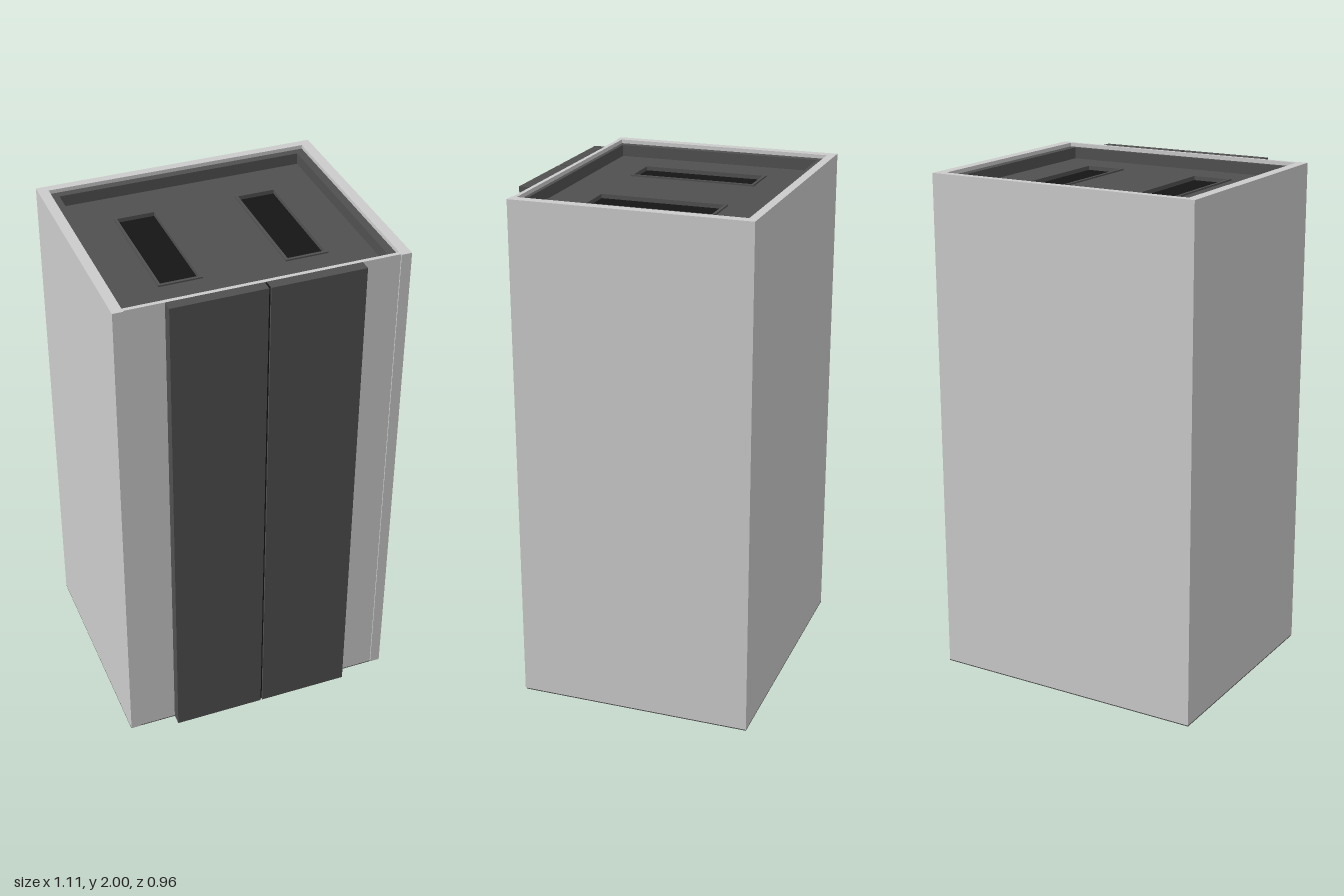
import * as THREE from 'three';

const grey = new THREE.MeshStandardMaterial({ color: 0xcccccc });
const dark = new THREE.MeshStandardMaterial({ color: 0x505050 });
const black = new THREE.MeshStandardMaterial({ color: 0x151515 });

// Plan outlines are [x0, x1, z0, z1]
function trace(path, [x0, x1, z0, z1]) {
  path.moveTo(x0, -z1);
  path.lineTo(x1, -z1);
  path.lineTo(x1, -z0);
  path.lineTo(x0, -z0);
  path.closePath();
  return path;
}

// Upright slab with rectangular plan, optional openings, from y0 to y1
function slab(name, material, plan, y0, y1, openings = []) {
  const shape = trace(new THREE.Shape(), plan);
  for (const o of openings) shape.holes.push(trace(new THREE.Path(), o));
  const geo = new THREE.ExtrudeGeometry(shape, { depth: y1 - y0, bevelEnabled: false });
  geo.rotateX(-Math.PI / 2).translate(0, y0, 0);
  const mesh = new THREE.Mesh(geo, material);
  mesh.name = name;
  return mesh;
}

export function createModel() {
  const model = new THREE.Group();
  model.name = 'elevatorCar';
  const add = (...args) => model.add(slab(...args));

  // Outer shell: two side walls, back wall and a slightly recessed front wall
  for (const s of [-1, 1]) {
    const xs = [s * 0.513, s * 0.553].sort((a, b) => a - b);
    add('sideWall', grey, [...xs, -0.48, 0.442], 0.004, 2);
  }
  add('backWall', grey, [-0.513, 0.513, -0.48, -0.447], 0.004, 2);
  add('frontWall', grey, [-0.513, 0.513, 0.421, 0.437], 0.004, 2);

  // Dark lining and the sunken roof inside it
  const inner = [-0.481, 0.481, -0.416, 0.405];
  const vents = [-0.241, 0.239].map((x) => [x - 0.083, x + 0.083, -0.256, 0.247]);
  add('lining', dark, [-0.513, 0.513, -0.447, 0.421], 0.02, 1.985, [inner]);
  add('roof', dark, inner, 1.91, 1.94, vents);

  // Roof vents: rim with a black panel below it
  for (const [x0, x1, z0, z1] of vents) {
    const opening = [x0 + 0.011, x1 - 0.011, z0 + 0.011, z1 - 0.011];
    add('ventRim', dark, [x0, x1, z0, z1], 1.91, 1.946, [opening]);
    add('ventPanel', black, opening, 1.91, 1.93);
  }

  // Floor with a narrow groove around it
  add('floorFrame', dark, [-0.553, 0.553, -0.48, 0.437], 0, 0.004, [[-0.513, 0.513, -0.447, 0.421]]);
  add('floor', dark, [-0.505, 0.505, -0.439, 0.421], 0, 0.018);
  add('floorBacking', grey, [-0.513, 0.513, -0.447, 0.421], 0.018, 0.02);

  // Pair of sliding doors with a black seal between them
  for (const s of [-1, 1]) {
    const xs = [s * 0.004, s * 0.365].sort((a, b) => a - b);
    add('door', dark, [...xs, 0.437, 0.48], 0, 2);
  }
  add('doorSeal', black, [-0.004, 0.004, 0.437, 0.472], 0, 1.998);

  return model;
}
